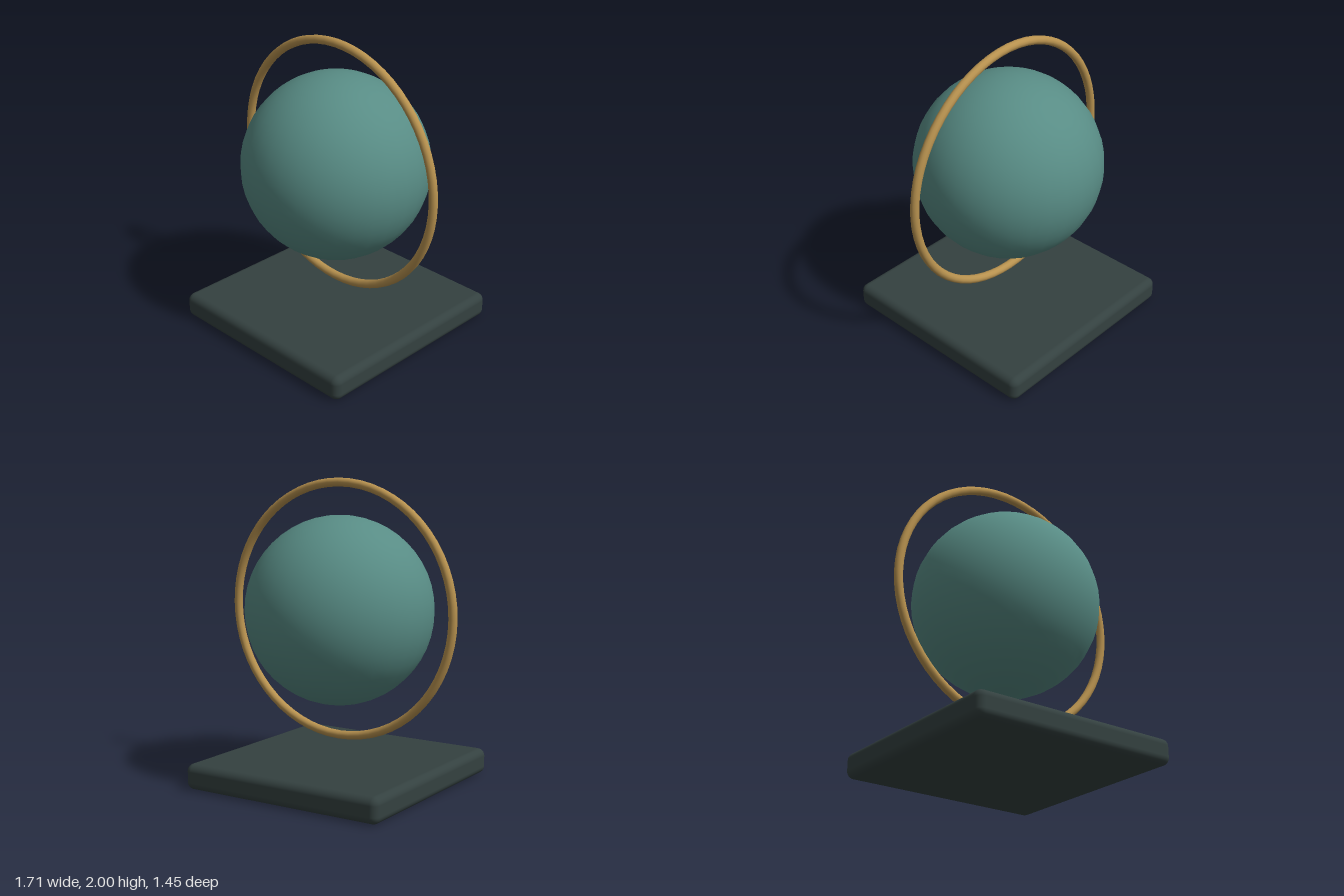
import * as THREE from 'three';
import { RoundedBoxGeometry } from 'three/addons/geometries/RoundedBoxGeometry.js';

const material = (name, color) => {
  const m = new THREE.MeshStandardMaterial({ color });
  m.name = name;
  return m;
};

export function createModel() {
  const slate = material('dark slate', 0x344140);
  const teal = material('teal', 0x588c85);
  const brass = material('brass', 0xb8924f);

  const model = new THREE.Group();
  const add = (name, geometry, mat, y) => {
    const mesh = new THREE.Mesh(geometry, mat);
    mesh.name = name;
    mesh.position.y = y;
    model.add(mesh);
  };

  const baseHeight = 0.17;
  const centreY = 1.143;

  // Square plinth with softened edges
  add('base', new RoundedBoxGeometry(1.45, baseHeight, 1.45, 4, 0.05), slate, baseHeight / 2);
  // Globe floating above the plinth
  add('globe', new THREE.SphereGeometry(0.619, 32, 24), teal, centreY);
  // Upright ring around the globe, facing the front
  add('ring', new THREE.TorusGeometry(0.8285, 0.0285, 12, 64), brass, centreY);

  return model;
}
